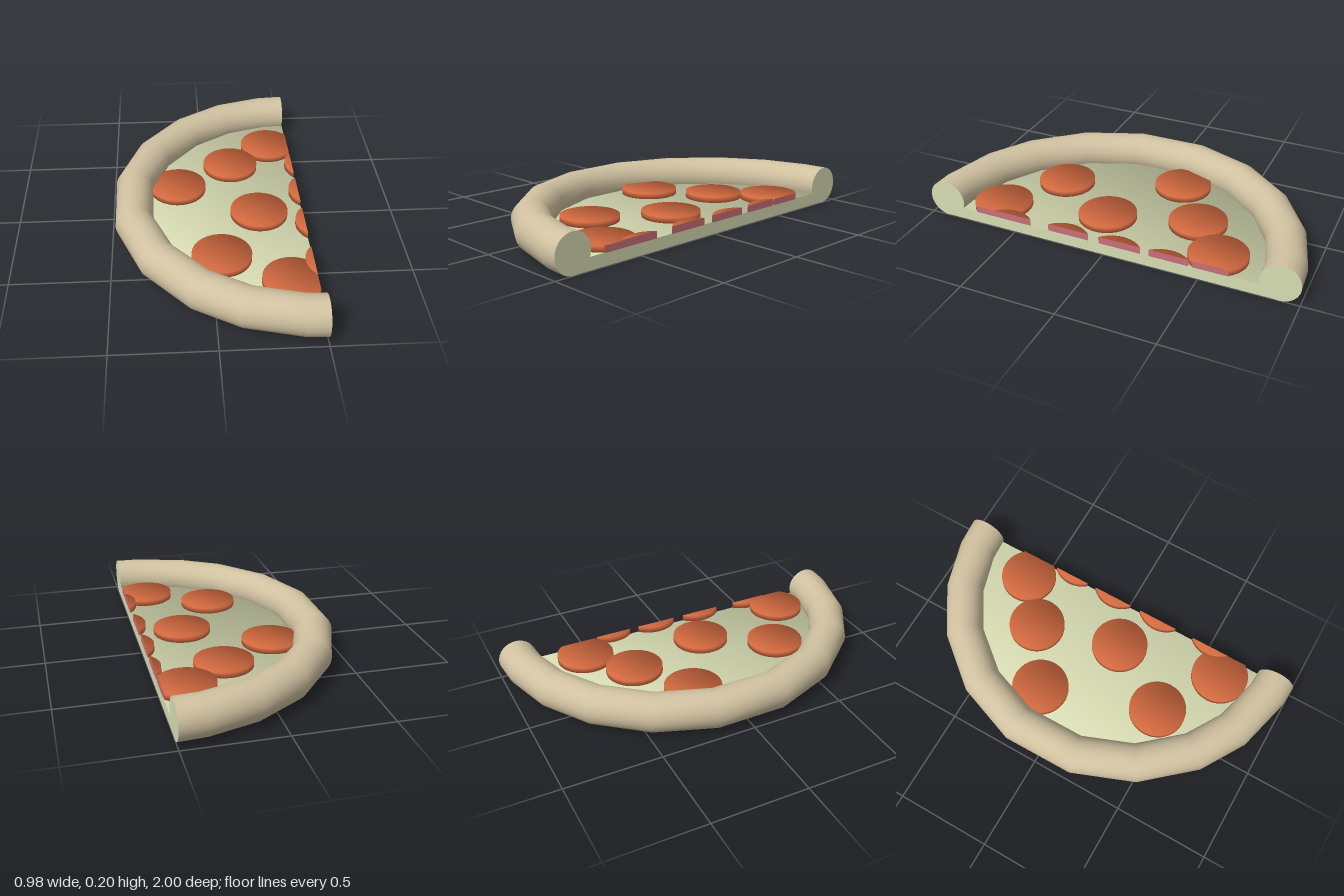
import * as THREE from 'three';

const CUT = 0.5; // plane x = CUT where the pizza is halved

const material = (color) => new THREE.MeshStandardMaterial({ color });
const crustMat = material(0xd0c1a0);
const doughMat = material(0xd9deb4);
const pepperoniMat = material(0xd2693f);
const pepperoniCutMat = material(0xc8707a);

// Flat disc cut off at x = limit, with softly rounded shading around its rim
function discGeometry(cx, cz, r, y0, y1, limit) {
  const clipped = cx + r > limit;
  const a = clipped ? Math.acos((limit - cx) / r) : 0;
  const shape = new THREE.Shape();
  shape.absarc(cx, -cz, r, a, Math.PI * 2 - a, false);
  const g = new THREE.ExtrudeGeometry(shape, { depth: y1 - y0, bevelEnabled: false, curveSegments: 40 });
  g.rotateX(-Math.PI / 2).translate(0, y0, 0);
  const p = g.attributes.position, n = g.attributes.normal;
  const v = new THREE.Vector3();
  for (let i = 0; i < p.count; i++) {
    if (clipped && n.getX(i) > 0.99 && p.getX(i) > limit - 1e-4) continue; // cut face stays flat
    const up = p.getY(i) > (y0 + y1) / 2 ? 1 : -1;
    v.set((p.getX(i) - cx) / r, up, (p.getZ(i) - cz) / r).normalize();
    n.setXYZ(i, v.x, v.y, v.z);
  }
  return g;
}

// Half ring with unevenly spaced bends
function crustGeometry() {
  const bends = [0, 8.5, 24, 41, 60, 79.6, 101.4, 121.5, 141, 156.5, 174, 180];
  const steps = bends.length - 1, sides = 32;
  const g = new THREE.TorusGeometry(0.9, 0.1, sides, steps, Math.PI);
  const axis = new THREE.Vector3(0, 0, 1), v = new THREE.Vector3();
  for (const attr of [g.attributes.position, g.attributes.normal]) {
    for (let i = 0; i < attr.count; i++) {
      const k = i % (steps + 1);
      const turn = THREE.MathUtils.degToRad(bends[k]) - (k / steps) * Math.PI;
      v.fromBufferAttribute(attr, i).applyAxisAngle(axis, turn);
      attr.setXYZ(i, v.x, v.y, v.z);
    }
  }
  // lay the ring down, open side towards +x
  g.applyMatrix4(new THREE.Matrix4().makeBasis(
    new THREE.Vector3(0, 0, -1), new THREE.Vector3(-1, 0, 0), new THREE.Vector3(0, 1, 0)));
  return g.translate(CUT, 0.1, 0);
}

export function createModel() {
  const pizza = new THREE.Group();
  pizza.name = 'halfPizza';
  const add = (name, geometry, mat, parent = pizza) => {
    const mesh = new THREE.Mesh(geometry, mat);
    mesh.name = name;
    parent.add(mesh);
    return mesh;
  };

  // Crust with its two cut ends
  add('crust', crustGeometry(), crustMat);
  for (const side of [-1, 1]) {
    const end = new THREE.CircleGeometry(0.1, 32).rotateY(Math.PI / 2);
    add('crustEnd', end, doughMat).position.set(CUT, 0.1, side * 0.9);
  }

  // Base
  add('base', discGeometry(CUT, 0, 0.9, 0.002, 0.065, CUT), doughMat);

  // Pepperoni slices: centre x, centre z
  const slices = [
    [0.38, -0.56], [0.15, -0.37], [-0.15, -0.17], [0.27, 0.08], [0.05, 0.43], [0.38, 0.63],
    [0.61, -0.35], [0.6, -0.09], [0.6, 0.19], [0.605, 0.51],
  ];
  const r = 0.15, y0 = 0.063, limit = CUT - 0.002;
  slices.forEach(([x, z], i) => {
    const slice = new THREE.Group();
    slice.name = 'pepperoni';
    pizza.add(slice);
    const y1 = i < 6 ? 0.096 : 0.099;
    add('pepperoniSlice', discGeometry(x, z, r, y0, y1, limit), pepperoniMat, slice);
    if (x + r > CUT) {
      // inner meat showing on the cut
      const chord = 2 * Math.sqrt(r * r - (CUT - x) ** 2);
      const face = new THREE.PlaneGeometry(chord, y1 - y0).rotateY(Math.PI / 2);
      add('pepperoniCutFace', face, pepperoniCutMat, slice).position.set(CUT + 0.0005, (y0 + y1) / 2, z);
    }
  });

  return pizza;
}
